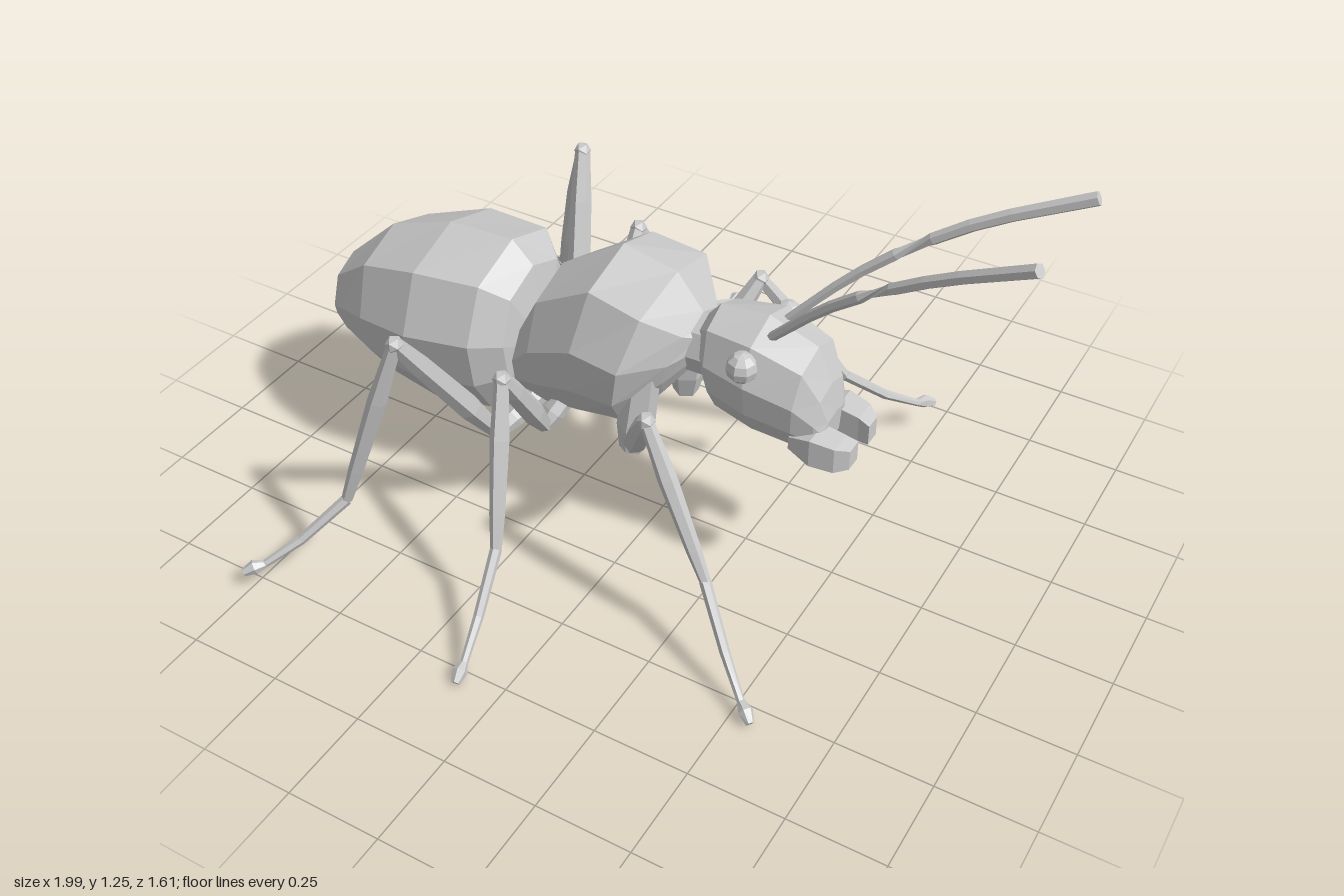
import * as THREE from 'three';

const MID = 0.035; // z of the body's centre line
const V = (x, y, z) => new THREE.Vector3(x, y, z);
const material = new THREE.MeshStandardMaterial({ color: 0xcccccc, flatShading: true });

// Skins a list of equal-sized rings (counter-clockwise seen from the far end) and caps both ends.
function skin(rings) {
  const n = rings[0].length, pos = [];
  const tri = (...pts) => pts.forEach(p => pos.push(p.x, p.y, p.z));
  const centre = ring => ring.reduce((s, p) => s.add(p), V(0, 0, 0)).divideScalar(n);
  for (let i = 0; i < rings.length - 1; i++) {
    for (let j = 0; j < n; j++) {
      const k = (j + 1) % n, a = rings[i], b = rings[i + 1];
      tri(a[j], a[k], b[j]);
      tri(a[k], b[k], b[j]);
    }
  }
  const first = rings[0], last = rings[rings.length - 1];
  const c0 = centre(first), c1 = centre(last);
  for (let j = 0; j < n; j++) {
    const k = (j + 1) % n;
    tri(c0, first[k], first[j]);
    tri(c1, last[j], last[k]);
  }
  const g = new THREE.BufferGeometry();
  g.setAttribute('position', new THREE.Float32BufferAttribute(pos, 3));
  g.computeVertexNormals();
  return g;
}

// Faceted body section: ridge on top, wide flanks, flat belly.
const half = [[0.72, 0.76], [1, 0.1], [0.9, -0.5], [0.58, -1]];
const outline = [[0, 1], ...half, ...half.map(([z, y]) => [-z, y]).reverse()];

// Each section: top x, top y, bottom x, bottom y, half width.
function bodyShell(sections) {
  return skin(sections.map(([tx, ty, bx, by, w]) => outline.map(([z, h]) => {
    const t = (h + 1) / 2;
    return V(bx + (tx - bx) * t, by + (ty - by) * t, MID + z * w);
  })));
}

// Tapered tube through points with one radius per point.
function limb(points, radii, sides = 6) {
  return skin(points.map((p, i) => {
    const t = points[Math.min(i + 1, points.length - 1)].clone()
      .sub(points[Math.max(i - 1, 0)]).normalize();
    const ref = Math.abs(t.x) < 0.8 ? V(1, 0, 0) : V(0, 0, 1);
    const u = ref.cross(t).normalize(), v = t.clone().cross(u);
    return Array.from({ length: sides }, (_, j) => {
      const a = j / sides * Math.PI * 2;
      return p.clone().addScaledVector(u, radii[i] * Math.cos(a)).addScaledVector(v, radii[i] * Math.sin(a));
    });
  }));
}

export function createModel() {
  const root = new THREE.Group();
  root.name = 'ant';
  const add = (name, geometry, parent = root) => {
    const mesh = new THREE.Mesh(geometry, material);
    mesh.name = name;
    parent.add(mesh);
    return mesh;
  };

  // Body
  add('abdomen', bodyShell([
    [-1, 0.41, -0.995, 0.31, 0.05], [-0.95, 0.53, -0.91, 0.29, 0.11],
    [-0.8, 0.67, -0.76, 0.275, 0.195], [-0.61, 0.74, -0.6, 0.27, 0.24],
    [-0.42, 0.75, -0.43, 0.29, 0.215], [-0.36, 0.69, -0.36, 0.33, 0.15],
    [-0.34, 0.56, -0.34, 0.4, 0.07],
  ]));
  add('waist', limb([V(-0.42, 0.43, MID), V(-0.36, 0.43, MID), V(-0.28, 0.45, MID)], [0.08, 0.06, 0.08], 8));
  add('thorax', bodyShell([
    [-0.345, 0.58, -0.355, 0.35, 0.13], [-0.27, 0.73, -0.27, 0.36, 0.175],
    [-0.09, 0.85, -0.16, 0.39, 0.21], [0.06, 0.82, -0.03, 0.42, 0.225],
    [0.13, 0.73, 0.06, 0.5, 0.12], [0.15, 0.7, 0.12, 0.58, 0.07],
  ]));
  add('neck', limb([V(0.08, 0.64, MID), V(0.2, 0.65, MID)], [0.08, 0.085], 8));

  // Head
  add('head', bodyShell([
    [0.14, 0.72, 0.155, 0.58, 0.06], [0.18, 0.77, 0.2, 0.51, 0.105],
    [0.31, 0.785, 0.31, 0.495, 0.135], [0.44, 0.74, 0.42, 0.48, 0.115],
    [0.48, 0.65, 0.47, 0.475, 0.085], [0.495, 0.57, 0.49, 0.49, 0.06],
  ]));
  for (const s of [1, -1]) {
    const side = s > 0 ? 'Right' : 'Left';
    const eye = add('eye' + side, new THREE.SphereGeometry(0.04, 8, 6));
    eye.position.set(0.3, 0.705, MID + s * 0.118);

    // Jaw: a squat wedge that narrows forwards and turns inwards
    const jaw = [[0.42, 0.495, 0.53, 0.045, 0.1], [0.48, 0.475, 0.55, 0.035, 0.112],
      [0.54, 0.47, 0.54, 0.035, 0.1], [0.57, 0.475, 0.53, 0.03, 0.075]];
    add('jaw' + side, skin(jaw.map(([x, y0, y1, z0, z1]) => {
      const [zl, zh] = [MID + s * z0, MID + s * z1].sort((a, b) => a - b);
      return [V(x, y1, zl), V(x, y1, zh), V(x, y0, zh), V(x, y0, zl)];
    })));

    // Antenna
    const tip = s > 0 ? [0.98, 1.25, 0.205] : [0.985, 1.23, -0.14];
    const path = new THREE.CatmullRomCurve3([
      V(0.33, 0.75, MID + s * 0.04), V(0.5, 0.93, MID + s * 0.08),
      V(0.73, 1.105, MID + s * 0.125), V(...tip),
    ]).getPoints(9);
    add('antenna' + side, limb(path, path.map((_, i) => 0.012 + 0.0006 * i)));
  }

  // Legs: hip on the body, foot of the coxa, knee, ankle, toe
  const legs = {
    frontLegRight: [[0.03, 0.58, 0.15], [0.01, 0.35, 0.17], [0.16, 0.63, 0.355], [0.345, 0.24, 0.395], [0.56, 0.025, 0.56]],
    middleLegRight: [[-0.2, 0.42, 0.1], [-0.24, 0.33, 0.19], [-0.215, 0.63, 0.395], [-0.15, 0.235, 0.55], [-0.11, 0.02, 0.8]],
    rearLegRight: [[-0.3, 0.36, 0.07], [-0.36, 0.285, 0.23], [-0.425, 0.735, 0.52], [-0.575, 0.235, 0.59], [-0.765, 0.06, 0.795]],
    frontLegLeft: [[0.03, 0.58, -0.08], [0.01, 0.35, -0.1], [0.13, 0.64, -0.27], [0.31, 0.285, -0.435], [0.49, 0.105, -0.66]],
    middleLegLeft: [[-0.2, 0.42, -0.03], [-0.24, 0.33, -0.12], [-0.25, 0.65, -0.3], [-0.2, 0.305, -0.505], [-0.2, 0.13, -0.805]],
    rearLegLeft: [[-0.3, 0.36, 0], [-0.375, 0.285, -0.17], [-0.465, 0.785, -0.37], [-0.625, 0.29, -0.5], [-0.855, 0.16, -0.7]],
  };
  for (const [name, joints] of Object.entries(legs)) {
    const leg = new THREE.Group();
    leg.name = name;
    root.add(leg);
    const [hip, base, knee, ankle, toe] = joints.map(p => V(...p));
    const at = (a, b, t, drop = 0) => a.clone().lerp(b, t).add(V(0, -drop, 0));
    const w = name.startsWith('front') ? 1.7 : 1;
    add('coxa', limb([hip, at(hip, base, 0.7), base], [0.026 * w, 0.028 * w, 0.02 * w]), leg);
    add('femur', limb([base, at(base, knee, 0.3), at(base, knee, 0.75), knee], [0.02, 0.032, 0.028, 0.02]), leg);
    add('knee', new THREE.IcosahedronGeometry(0.023, 0), leg).position.copy(knee);
    add('tibia', limb([knee, at(knee, ankle, 0.35), at(knee, ankle, 0.8), ankle], [0.017, 0.024, 0.019, 0.014]), leg);
    add('tarsus', limb([ankle, at(ankle, toe, 0.45, 0.025), at(ankle, toe, 0.8, 0.02), at(ankle, toe, 0.9, 0.006), toe],
      [0.015, 0.013, 0.01, 0.019, 0.011]), leg);
  }
  return root;
}
